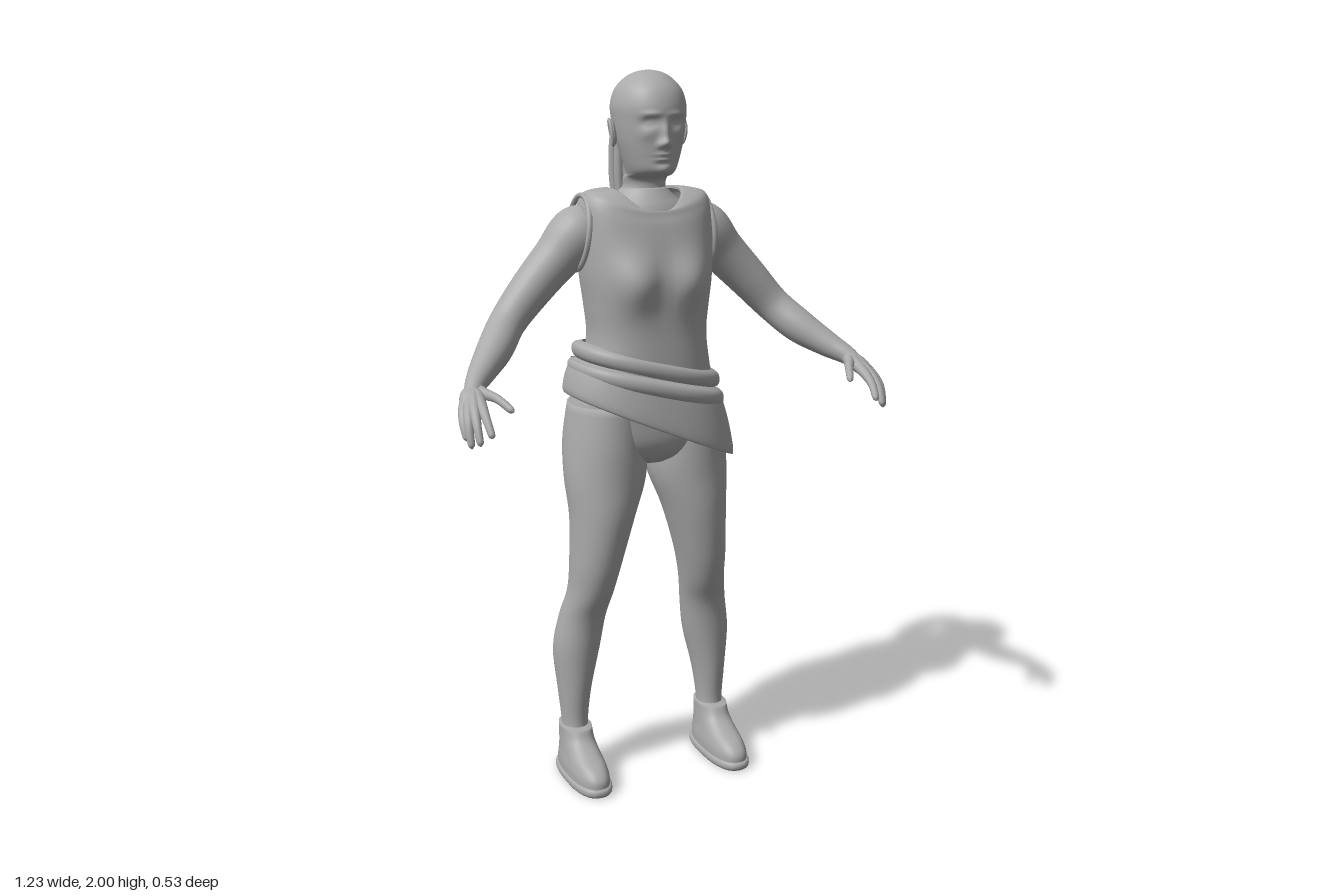
import * as THREE from 'three';
import { mergeVertices } from 'three/addons/utils/BufferGeometryUtils.js';

const V = (x, y, z) => new THREE.Vector3(x, y, z);
const clay = new THREE.MeshStandardMaterial({ color: 0xaaaaaa, side: THREE.DoubleSide });
clay.name = 'clay grey';

function part(parent, name, geometry) {
  const mesh = new THREE.Mesh(geometry, clay);
  mesh.name = name;
  parent.add(mesh);
  return mesh;
}

// Smooth skin over horizontal rings, bottom to top: [y, centreX, halfWidth, zFront, zBack, k]
// yOffset(k, cos, sin, x) bends a ring; bumps push the front: [x, y, amount, sizeX, sizeY]
function loft(sections, { rings = 36, sides = 40, power = 2, caps = true, bumps = [], yOffset = (k, c, s, x) => k * x } = {}) {
  const curveA = new THREE.CatmullRomCurve3(sections.map(s => V(s[0], s[1], s[2])), false, 'catmullrom', 0.5);
  const curveB = new THREE.CatmullRomCurve3(sections.map(s => V(s[3], s[4], s[5] || 0)), false, 'catmullrom', 0.5);
  const pos = [], index = [];
  const shape = v => Math.sign(v) * Math.abs(v) ** (2 / power);
  for (let i = 0; i <= rings; i++) {
    const a = curveA.getPoint(i / rings), b = curveB.getPoint(i / rings);
    for (let j = 0; j < sides; j++) {
      const t = j / sides * Math.PI * 2;
      const c = shape(Math.cos(t)), s = shape(Math.sin(t));
      const x = a.y + a.z * c;
      const y = a.x + yOffset(b.z, c, s, x);
      let z = (b.x + b.y) / 2 + (b.x - b.y) / 2 * s;
      if (s > 0) for (const [bx, by, amount, sx, sy] of bumps)
        z += amount * Math.min(1, s * 1.3) * Math.exp(-(((Math.abs(x) - bx) / sx) ** 2) - ((y - by) / sy) ** 2);
      pos.push(x, y, z);
    }
  }
  for (let i = 0; i < rings; i++) for (let j = 0; j < sides; j++) {
    const k = (j + 1) % sides, p = i * sides, q = p + sides;
    index.push(p + j, q + j, p + k, q + j, q + k, p + k);
  }
  if (caps) for (const i of [0, rings]) {
    const a = curveA.getPoint(i / rings), b = curveB.getPoint(i / rings), centre = pos.length / 3;
    pos.push(a.y, a.x, (b.x + b.y) / 2);
    for (let j = 0; j < sides; j++) {
      const p = i * sides + j, q = i * sides + (j + 1) % sides;
      index.push(...(i ? [centre, q, p] : [centre, p, q]));
    }
  }
  const g = new THREE.BufferGeometry();
  g.setAttribute('position', new THREE.Float32BufferAttribute(pos, 3));
  g.setIndex(index);
  g.computeVertexNormals();
  return g;
}

// Tube with a changing radius: points are [x, y, z, radius]
function limb(points, steps = 24, sides = 16) {
  const curve = new THREE.CatmullRomCurve3(points.map(p => V(p[0], p[1], p[2])));
  curve.getUtoTmapping = u => u;
  const radius = new THREE.CatmullRomCurve3(points.map((p, i) => V(p[3], i, 0)), false, 'catmullrom', 0.5);
  const g = new THREE.TubeGeometry(curve, steps, 1, sides);
  const pos = g.attributes.position, v = V(0, 0, 0);
  for (let i = 0; i < pos.count; i++) {
    const u = Math.floor(i / (sides + 1)) / steps, centre = curve.getPoint(u);
    v.fromBufferAttribute(pos, i).sub(centre).multiplyScalar(Math.max(0.001, radius.getPoint(u).x)).add(centre);
    pos.setXYZ(i, v.x, v.y, v.z);
  }
  g.deleteAttribute('uv');
  g.deleteAttribute('normal');
  const merged = mergeVertices(g, 1e-5);
  merged.computeVertexNormals();
  return merged;
}

// Parts for one side, built on +x
function buildSide(name) {
  const side = new THREE.Group();
  side.name = name;

  part(side, 'leg', loft([
    [0.12, 0.216, 0.038, -0.04, -0.132], [0.17, 0.216, 0.038, -0.045, -0.135],
    [0.26, 0.214, 0.048, -0.038, -0.152], [0.38, 0.205, 0.067, -0.03, -0.168],
    [0.48, 0.19, 0.067, -0.018, -0.155], [0.56, 0.174, 0.065, 0.015, -0.138],
    [0.65, 0.162, 0.073, 0.04, -0.137], [0.78, 0.142, 0.091, 0.056, -0.152],
    [0.89, 0.126, 0.115, 0.055, -0.183], [0.99, 0.12, 0.116, 0.055, -0.215],
    [1.1, 0.115, 0.105, 0.05, -0.21]], { rings: 50 }));

  // Shoe with a flat sole, and the trouser cuff above it
  part(side, 'shoeSole', loft([
    [0.005, 0.217, 0.054, 0.12, -0.16], [0.012, 0.217, 0.058, 0.127, -0.166],
    [0.024, 0.217, 0.058, 0.127, -0.166], [0.03, 0.217, 0.052, 0.12, -0.16]], { rings: 6, power: 2.5 }));
  part(side, 'shoeUpper', loft([
    [0.02, 0.217, 0.053, 0.12, -0.158], [0.05, 0.217, 0.053, 0.117, -0.158],
    [0.075, 0.217, 0.049, 0.09, -0.154], [0.095, 0.217, 0.046, 0.045, -0.15],
    [0.12, 0.217, 0.044, 0, -0.147], [0.152, 0.217, 0.043, -0.022, -0.145]],
    { rings: 20, power: 2.4, yOffset: (k, c, s) => 0 }));

  part(side, 'arm', limb([
    [0.13, 1.59, -0.1, 0.06], [0.185, 1.565, -0.1, 0.078], [0.25, 1.502, -0.1, 0.065],
    [0.33, 1.42, -0.09, 0.057], [0.4, 1.343, -0.07, 0.05], [0.455, 1.285, -0.012, 0.048],
    [0.515, 1.237, 0.055, 0.036], [0.548, 1.213, 0.1, 0.027], [0.562, 1.198, 0.125, 0.022]], 44, 24));

  // Palm and curled fingers fanning from the wrist
  const palm = part(side, 'palm', new THREE.SphereGeometry(1, 20, 14));
  palm.scale.set(0.032, 0.02, 0.048);
  palm.position.set(0.568, 1.19, 0.137);
  palm.lookAt(0.59, 1.155, 0.19);
  const fingers = {
    littleFinger: [[0.589, 1.175, 0.145], [0.604, 1.14, 0.178], [0.602, 1.095, 0.2]],
    ringFinger: [[0.583, 1.177, 0.16], [0.598, 1.138, 0.205], [0.598, 1.08, 0.226]],
    middleFinger: [[0.572, 1.18, 0.17], [0.582, 1.143, 0.22], [0.582, 1.09, 0.25]],
    indexFinger: [[0.556, 1.183, 0.17], [0.558, 1.152, 0.225], [0.554, 1.11, 0.262]],
    thumb: [[0.538, 1.2, 0.135], [0.514, 1.192, 0.175], [0.487, 1.165, 0.23]]
  };
  for (const [finger, [a, b, c]] of Object.entries(fingers)) {
    const near = b.map((v, i) => v * 0.15 + c[i] * 0.85);
    part(side, finger, limb([[0.55, 1.21, 0.1, 0.019], [...a, 0.016], [...b, 0.0115], [...near, 0.009], [...c, 0.001]], 18, 10));
  }

  // Rim of the sleeveless armhole
  const hole = [];
  for (let i = 0; i < 20; i++) {
    const t = i / 20 * Math.PI * 2;
    hole.push(V(0.186 - 0.012 * Math.sin(t), 1.57 + 0.1 * Math.sin(t), -0.095 + 0.082 * Math.cos(t)));
  }
  part(side, 'armholeRim', new THREE.TubeGeometry(new THREE.CatmullRomCurve3(hole, true), 48, 0.008, 8, true));

  // Ear: a flat shell with a raised outer rim
  const ear = new THREE.Group();
  ear.name = 'ear';
  part(ear, 'earShell', new THREE.SphereGeometry(1, 16, 12)).scale.set(0.008, 0.034, 0.02);
  part(ear, 'earRim', new THREE.TorusGeometry(0.022, 0.005, 8, 24).rotateY(Math.PI / 2).scale(1, 1.45, 0.85)).position.x = 0.005;
  ear.position.set(0.098, 1.838, -0.055);
  ear.rotation.set(-0.15, 0.3, -0.12);
  side.add(ear);
  return side;
}

export function createModel() {
  const model = new THREE.Group();
  model.name = 'woman';

  const left = buildSide('leftSide'), right = buildSide('rightSide');
  right.scale.x = -1;
  model.add(left, right);

  // Head and neck, with facial features as soft bumps
  part(model, 'head', loft([
    [1.6, 0, 0.1, 0, -0.17], [1.65, 0, 0.075, -0.005, -0.155], [1.69, 0, 0.06, -0.018, -0.135],
    [1.715, 0, 0.06, -0.01, -0.128], [1.726, 0, 0.06, 0.035, -0.124], [1.742, 0, 0.066, 0.056, -0.122],
    [1.775, 0, 0.077, 0.061, -0.125], [1.82, 0, 0.09, 0.066, -0.143], [1.87, 0, 0.098, 0.069, -0.157],
    [1.91, 0, 0.1, 0.068, -0.162], [1.95, 0, 0.088, 0.052, -0.148], [1.98, 0, 0.061, 0.02, -0.115],
    [1.995, 0, 0.032, -0.012, -0.078], [2, 0, 0.003, -0.042, -0.048]],
    { rings: 110, sides: 96, bumps: [
      [0, 1.812, 0.019, 0.013, 0.014], [0, 1.838, 0.012, 0.01, 0.024], [0.014, 1.808, 0.007, 0.008, 0.008],
      [0.038, 1.865, -0.012, 0.02, 0.012], [0.038, 1.864, 0.006, 0.013, 0.006], [0.036, 1.887, 0.005, 0.024, 0.007],
      [0, 1.782, 0.008, 0.02, 0.006], [0, 1.77, 0.007, 0.017, 0.005], [0, 1.776, -0.004, 0.024, 0.002],
      [0, 1.758, -0.004, 0.02, 0.006], [0, 1.738, 0.006, 0.022, 0.012], [0.05, 1.835, 0.004, 0.018, 0.016]] }));

  // Skin of the upper chest inside the neckline
  part(model, 'upperChest', loft([
    [1.5, 0, 0.16, 0.04, -0.18], [1.58, 0, 0.15, 0.035, -0.18], [1.635, 0, 0.12, 0.018, -0.168],
    [1.665, 0, 0.085, 0, -0.155], [1.69, 0, 0.06, -0.018, -0.135]], { rings: 20 }));

  // Sleeveless top: shoulders rise beside a scooped neckline
  part(model, 'top', loft([
    [1.12, 0, 0.195, 0.068, -0.21], [1.2, 0, 0.178, 0.072, -0.198], [1.29, 0, 0.166, 0.07, -0.192],
    [1.37, 0, 0.173, 0.068, -0.194], [1.46, 0, 0.185, 0.064, -0.198], [1.54, 0, 0.19, 0.055, -0.2],
    [1.59, 0, 0.189, 0.045, -0.195, 0.02], [1.615, 0, 0.182, 0.036, -0.188, 0.042],
    [1.63, 0, 0.16, 0.031, -0.18, 0.05], [1.626, 0, 0.1, 0.026, -0.168, 0.062], [1.618, 0, 0.094, 0.02, -0.16, 0.062]],
    { rings: 70, sides: 64, power: 2.5, caps: false, bumps: [[0.08, 1.445, 0.035, 0.068, 0.075]],
      yOffset: (k, c, s) => k * (c * c + (s < 0 ? 0.55 * s * s : 0)) }));

  part(model, 'hips', loft([
    [0.93, 0, 0.06, 0, -0.12], [0.955, 0, 0.14, 0.035, -0.175], [1, 0, 0.205, 0.055, -0.21],
    [1.07, 0, 0.223, 0.06, -0.222], [1.15, 0, 0.2, 0.066, -0.215], [1.22, 0, 0.176, 0.066, -0.19]], { power: 2.2 }));

  // Slanted wrap skirt, low on the left hip
  part(model, 'wrapSkirt', loft([
    [1.032, 0.016, 0.238, 0.09, -0.245, -0.42], [1.036, 0.016, 0.244, 0.096, -0.252, -0.42],
    [1.06, 0.014, 0.243, 0.096, -0.252, -0.39], [1.11, 0.01, 0.232, 0.09, -0.245, -0.33],
    [1.17, 0.005, 0.212, 0.08, -0.228, -0.27]], { rings: 24, sides: 56, power: 2.4, caps: false }));

  // Two rolled folds of cloth at the waist
  for (const [name, y, grow] of [['upperWaistFold', 1.2, 0], ['lowerWaistFold', 1.15, 0.012]]) {
    const roll = [[-0.028, -0.012], [-0.018, 0.008], [0, 0.014], [0.018, 0.008], [0.028, -0.014]];
    part(model, name, loft(roll.map(([dy, out]) => {
      const o = out + grow;
      return [y + dy, 0.006, 0.196 + o, 0.07 + o, -0.222 - o, -0.25];
    }), { rings: 12, sides: 56, power: 2.3, caps: false }));
  }

  // Ponytail: a full core wrapped in thinner strands, with a hair tie
  const hair = new THREE.Group();
  hair.name = 'ponytail';
  const core = [[0, 1.915, -0.135, 0.016], [0, 1.915, -0.18, 0.021], [0, 1.83, -0.213, 0.034],
    [0, 1.71, -0.222, 0.035], [0, 1.6, -0.212, 0.023], [0, 1.52, -0.2, 0.002]];
  part(hair, 'ponytailCore', limb(core, 36, 20));
  for (let i = 0; i < 8; i++) {
    const t = i / 8 * Math.PI * 2;
    part(hair, 'strand', limb(core.map(([x, y, z, r], j) => [
      x + Math.cos(t) * r * 0.85, y + (j === 5 ? 0.02 * (i % 3) : 0), z + Math.sin(t) * r * 0.85, j === 5 ? 0.001 : r * 0.38]), 30, 8));
  }
  part(hair, 'hairTie', new THREE.TorusGeometry(0.018, 0.007, 8, 20)).position.set(0, 1.916, -0.158);
  model.add(hair);
  return model;
}
